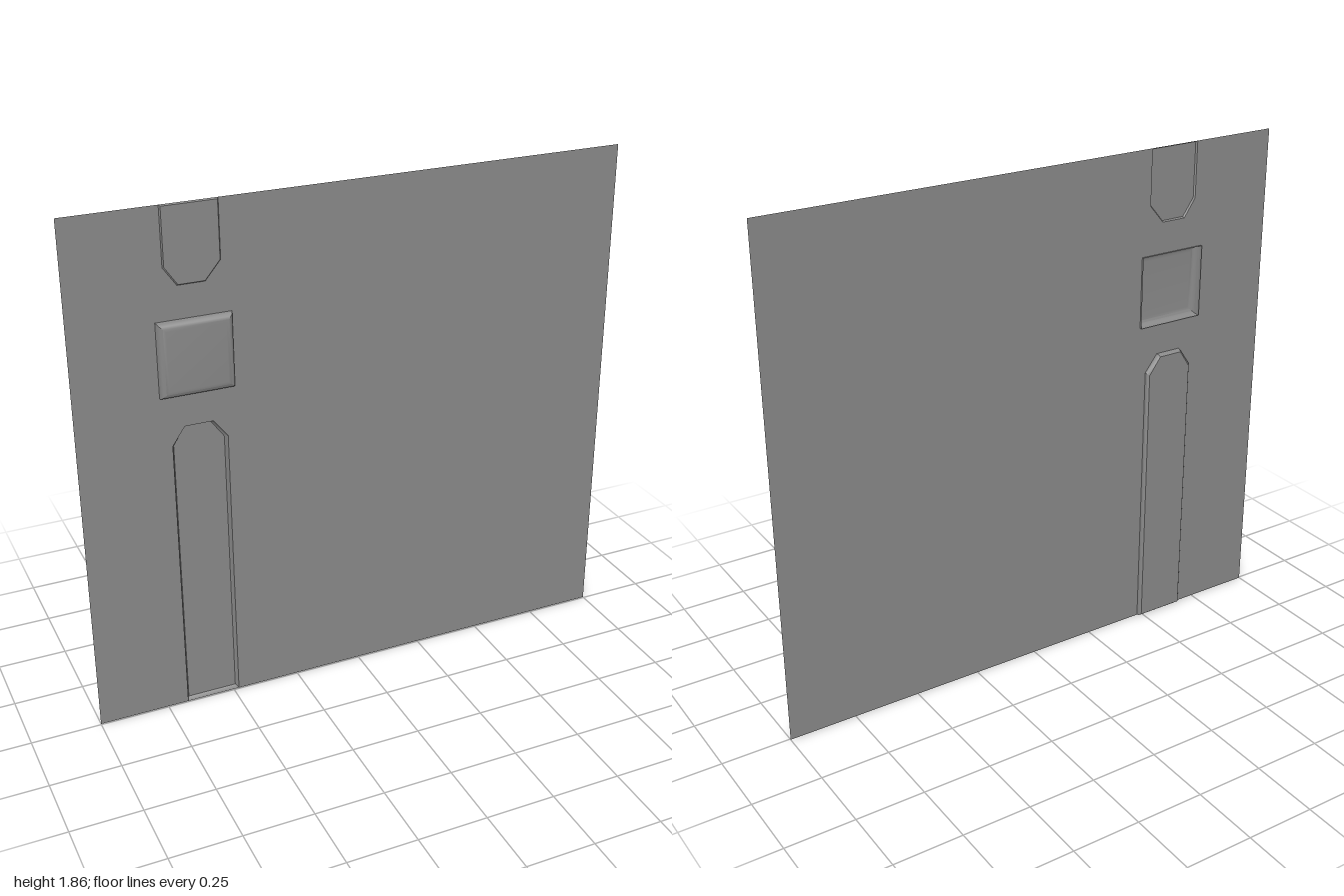
import * as THREE from 'three';
import { toCreasedNormals } from 'three/addons/utils/BufferGeometryUtils.js';

const SHEET_Z = -0.004;

// Pressed relief: a counter-clockwise outline stepped through [inset, z] rings and capped
function pressing(outline, rings) {
  const xs = outline.map(p => p[0]), ys = outline.map(p => p[1]);
  const x0 = Math.min(...xs), x1 = Math.max(...xs);
  const y0 = Math.min(...ys), y1 = Math.max(...ys);
  const cx = (x0 + x1) / 2, cy = (y0 + y1) / 2;
  const n = outline.length, pos = [], index = [];
  for (const [inset, z] of rings) {
    const sx = 1 - 2 * inset / (x1 - x0), sy = 1 - 2 * inset / (y1 - y0);
    for (const [x, y] of outline) pos.push(cx + (x - cx) * sx, cy + (y - cy) * sy, z);
  }
  const last = rings.length - 1;
  pos.push(cx, cy, rings[last][1]);
  for (let i = 0; i < n; i++) {
    const j = (i + 1) % n;
    for (let r = 0; r < last; r++) {
      const a = r * n + i, b = r * n + j;
      index.push(a, b, b + n, a, b + n, a + n);
    }
    index.push(last * n + i, last * n + j, (last + 1) * n);
  }
  const geo = new THREE.BufferGeometry();
  geo.setAttribute('position', new THREE.Float32BufferAttribute(pos, 3));
  geo.setIndex(index);
  return toCreasedNormals(geo, 0.6);
}

export function createModel() {
  const group = new THREE.Group();
  const grey = new THREE.MeshStandardMaterial({ color: 0x888888, side: THREE.DoubleSide });
  grey.name = 'grey';
  const add = (name, geo) => {
    const mesh = new THREE.Mesh(geo, grey);
    mesh.name = name;
    group.add(mesh);
  };

  // Outlines of the three pressed details
  const lower = [[-0.675, 0], [-0.48, 0], [-0.48, 1.03], [-0.53, 1.095], [-0.63, 1.095], [-0.675, 1.03]];
  const upper = [[-0.675, 1.86], [-0.675, 1.655], [-0.63, 1.59], [-0.535, 1.59], [-0.48, 1.655], [-0.48, 1.86]];
  const square = [[-0.71, 1.21], [-0.45, 1.21], [-0.45, 1.475], [-0.71, 1.475]];
  const vectors = pts => pts.map(([x, y]) => new THREE.Vector2(x, y));

  // Flat sheet, notched at the top and bottom edges and pierced by the square
  const sheet = new THREE.Shape(vectors([
    [-1, 0], lower[0], lower[5], lower[4], lower[3], lower[2], lower[1],
    [1, 0], [1, 1.86], upper[5], upper[4], upper[3], upper[2], upper[1], upper[0], [-1, 1.86],
  ]));
  sheet.holes.push(new THREE.Path(vectors(square)));
  add('wallSheet', new THREE.ShapeGeometry(sheet).translate(0, 0, SHEET_Z));

  // Long channel sunk towards the back
  add('lowerChannel', pressing(lower, [[0, SHEET_Z], [0.002, -0.014], [0.008, -0.021]]));

  // Shallow tab raised at the top edge
  add('upperTab', pressing(upper, [[0, SHEET_Z], [0.004, 0.002]]));

  // Hollow square boss with a rounded front rim
  add('squareBoss', pressing(square, [
    [0, -0.012], [0, 0], [0.003, 0.009], [0.01, 0.016], [0.018, 0.02], [0.028, 0.021],
  ]));

  return group;
}
